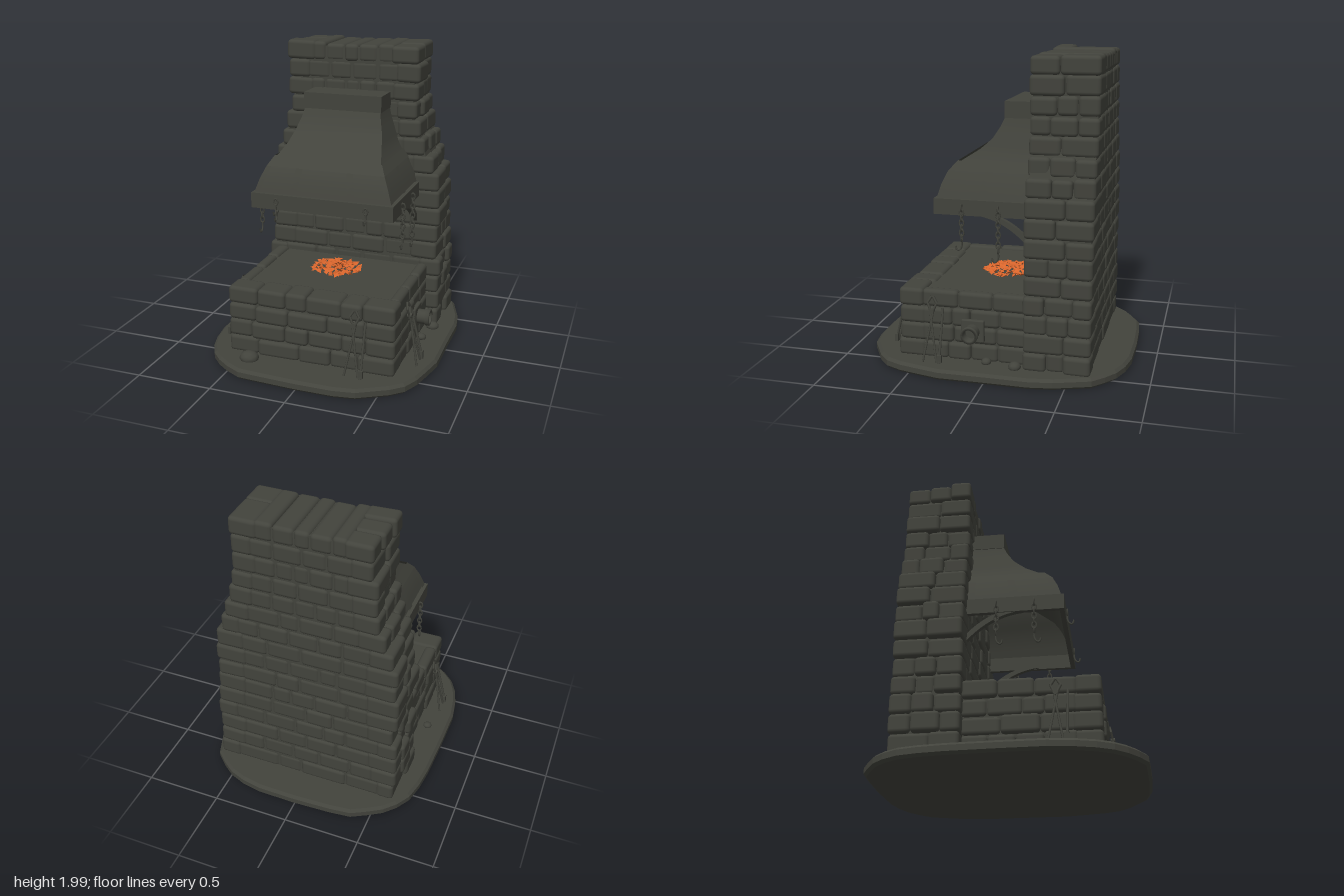
import * as THREE from 'three';
import { RoundedBoxGeometry } from 'three/addons/geometries/RoundedBoxGeometry.js';
import { mergeGeometries } from 'three/addons/utils/BufferGeometryUtils.js';

const stone = new THREE.MeshStandardMaterial({ color: 0x42433c, side: THREE.DoubleSide });
stone.name = 'soot grey';
const ember = new THREE.MeshStandardMaterial({ color: 0xd8652c });
ember.name = 'ember orange';

let seed = 11;
const rnd = () => (seed = (seed * 16807) % 2147483647) / 2147483647;
const jit = (a) => (rnd() * 2 - 1) * a;
const lerp = THREE.MathUtils.lerp;
const V = (x, y, z) => new THREE.Vector3(x, y, z);

// linear lookup in rows [y, value1, value2]
function lookup(rows, y, k) {
  let i = 0;
  while (i < rows.length - 2 && y > rows[i + 1][0]) i++;
  const [a, b] = [rows[i], rows[i + 1]];
  return lerp(a[k], b[k], THREE.MathUtils.clamp((y - a[0]) / (b[0] - a[0]), 0, 1));
}

function add(parent, name, geo, mat = stone, pos = [0, 0, 0]) {
  const m = new THREE.Mesh(geo, mat);
  m.name = name;
  m.position.set(...pos);
  parent.add(m);
  return m;
}

// one worn block between two corners
function block(x0, x1, y0, y1, z0, z1, turn = 0.015) {
  const g = new RoundedBoxGeometry(x1 - x0, y1 - y0, z1 - z0, 2, 0.025);
  g.rotateZ(jit(turn)).rotateY(jit(turn));
  return g.translate((x0 + x1) / 2, (y0 + y1) / 2, (z0 + z1) / 2);
}

// uneven split of a span into n pieces
function split(a, b, n) {
  const c = [a];
  for (let i = 1; i < n; i++) c.push(lerp(a, b, (i + jit(0.2)) / n));
  return [...c, b];
}

const bar = (a, b, r) => new THREE.TubeGeometry(new THREE.LineCurve3(a, b), 1, r, 6);

// chimney outline: height, half width
const WALL = [[0.07, 0.625], [0.45, 0.62], [0.6, 0.6], [0.85, 0.615], [1.1, 0.59], [1.3, 0.53], [1.5, 0.455], [2, 0.45]];

function chimney() {
  const out = [], n = 16;
  for (let i = 0; i < n; i++) {
    const y0 = lerp(0.06, 1.985, i / n), y1 = lerp(0.06, 1.985, (i + 1) / n);
    const w = lookup(WALL, (y0 + y1) / 2, 1), end = w - 0.15 + jit(0.04);
    // middle stones run front to back
    const xs = split(-end, end, 4 + (i % 2));
    for (let k = 0; k < xs.length - 1; k++)
      out.push(block(xs[k], xs[k + 1], y0, y1 + (i === n - 1 ? jit(0.015) : 0), -0.64 + jit(0.004), -0.225 + jit(0.007), 0.006));
    // corner stones, split along the depth
    for (const s of [-1, 1]) {
      const zs = split(-0.645, -0.22, 2 + Math.floor(rnd() * 2));
      for (let k = 0; k < zs.length - 1; k++) {
        const o = w + jit(0.018);
        out.push(block(s < 0 ? -o : end - 0.02, s < 0 ? 0.02 - end : o, y0, y1 + jit(0.008), zs[k], zs[k + 1], 0.025));
      }
    }
  }
  return mergeGeometries(out);
}

function chimneyCore() {
  const s = new THREE.Shape([...WALL.map(([y, w]) => new THREE.Vector2(w - 0.03, Math.min(y, 1.96))),
    ...WALL.slice().reverse().map(([y, w]) => new THREE.Vector2(0.03 - w, Math.min(y, 1.96)))]);
  return new THREE.ExtrudeGeometry(s, { depth: 0.395, bevelEnabled: false }).translate(0, 0, -0.63);
}

function hearth() {
  const out = [], n = 4;
  for (let i = 0; i < n; i++) {
    const y0 = lerp(0.06, 0.512, i / n), y1 = lerp(0.06, 0.512, (i + 1) / n);
    const xs = split(-0.56, 0.56, 5 + (i % 2));
    for (let k = 0; k < xs.length - 1; k++) out.push(block(xs[k], xs[k + 1], y0, y1 + jit(0.005), 0.43 + jit(0.012), 0.6 + jit(0.01)));
    for (const s of [-1, 1]) {
      const zs = split(-0.23, 0.45, 4 - (i % 2));
      for (let k = 0; k < zs.length - 1; k++) {
        const o = 0.555 + jit(0.01);
        out.push(block(s < 0 ? -o : 0.475, s < 0 ? -0.475 : o, y0, y1 + jit(0.005), zs[k], zs[k + 1]));
      }
    }
  }
  return mergeGeometries(out);
}

// worn oval slab
function slab() {
  const pts = [], n = 36, p = 2 / 3.2;
  for (let i = 0; i < n; i++) {
    const a = (i / n) * Math.PI * 2, c = Math.cos(a), s = Math.sin(a), k = 0.985 + jit(0.012);
    pts.push(new THREE.Vector2(Math.sign(c) * Math.abs(c) ** p * 0.755 * k, Math.sign(s) * Math.abs(s) ** p * 0.86 * k));
  }
  return new THREE.ExtrudeGeometry(new THREE.Shape(pts), { depth: 0.035, bevelThickness: 0.017, bevelSize: 0.018, bevelSegments: 1 })
    .rotateX(-Math.PI / 2).translate(0, 0.017, 0);
}

// hood section: height, half width, front depth
const HOOD = [[1.08, 0.45, 0.36], [1.17, 0.42, 0.335], [1.25, 0.385, 0.3], [1.31, 0.35, 0.245], [1.37, 0.32, 0.14], [1.45, 0.295, 0.05], [1.53, 0.27, 0], [1.6, 0.255, -0.03]];

// piece of the hood skin; side 0 is the front, -1 and 1 are the flanks
function skin(side, u0, u1, y0, y1, off = 0, rows = 4) {
  const pos = [], idx = [];
  for (let i = 0; i <= rows; i++) {
    const y = lerp(y0, y1, i / rows), x = lookup(HOOD, y, 1), z = lookup(HOOD, y, 2);
    for (const u of [u0, u1])
      pos.push(...(side ? [side * (x + off), y + off / 2, lerp(-0.23, z + off, u)] : [u * (x + off), y + off / 2, z + off]));
    const a = i * 2;
    if (i < rows) idx.push(...(side > 0 ? [a, a + 3, a + 1, a, a + 2, a + 3] : [a, a + 1, a + 3, a, a + 3, a + 2]));
  }
  const g = new THREE.BufferGeometry();
  g.setAttribute('position', new THREE.Float32BufferAttribute(pos, 3));
  g.setIndex(idx);
  g.computeVertexNormals();
  return g;
}

// hanging chain of links ending in a hook
function chain(parent, name, x, y, z, links, hookScale = 1) {
  const out = [];
  for (let i = 0; i < links; i++)
    out.push(new THREE.TorusGeometry(0.014, 0.005, 5, 10).scale(1, 1.5, 1).rotateY((i % 2) * Math.PI / 2).translate(0, -0.032 * i, 0));
  const h = -0.032 * links + 0.012;
  const curve = new THREE.CatmullRomCurve3([V(0, h, 0), V(0, h - 0.03, 0), V(0, h - 0.055, 0.012), V(0, h - 0.06, 0.03), V(0, h - 0.035, 0.04)]);
  out.push(new THREE.TubeGeometry(curve, 10, 0.006 * hookScale, 6));
  return add(parent, name, mergeGeometries(out), stone, [x, y, z]);
}

export function createModel() {
  const root = new THREE.Group();
  root.name = 'forge';
  add(root, 'groundSlab', slab());
  add(root, 'chimneyCore', chimneyCore());
  add(root, 'chimneyStones', chimney());
  add(root, 'hearthStones', hearth());
  add(root, 'hearthBed', new THREE.BoxGeometry(1.06, 0.44, 0.79), stone, [0, 0.275, 0.175]);

  // loose rocks on the slab
  for (const [x, z, r] of [[-0.38, 0.68, 0.065], [0.61, -0.17, 0.045], [-0.62, 0.1, 0.03], [0.58, 0.02, 0.035]])
    add(root, 'looseRock', new THREE.IcosahedronGeometry(r, 1).scale(1, 0.7, 0.9), stone, [x, 0.08, z]);

  // glowing coals, denser toward the middle
  const coals = [];
  for (let i = 0; i < 110; i++) {
    const a = rnd() * Math.PI * 2, d = Math.sqrt(rnd());
    const g = new THREE.TetrahedronGeometry(0.02 + rnd() * 0.016).scale(1, 0.5, 1);
    coals.push(g.rotateY(rnd() * 6).rotateX(jit(0.4)).translate(-0.02 + Math.cos(a) * d * 0.16, 0.506 + (1 - d) * 0.022, 0.03 + Math.sin(a) * d * 0.16));
  }
  add(root, 'coals', mergeGeometries(coals), ember);

  // hood with rim, ribs and cap
  const hood = new THREE.Group();
  hood.name = 'hood';
  root.add(hood);
  add(hood, 'hoodFront', skin(0, -1, 1, 1.08, 1.6, 0, 14));
  for (const s of [-1, 1]) {
    add(hood, 'hoodFlank', skin(s, 0, 1, 1.08, 1.6, 0, 14));
    add(hood, 'flankBand', skin(s, 0, 1, 1.25, 1.31, 0.01));
    for (const [a, b] of [[0, 0.09], [0.46, 0.55], [0.92, 1]]) add(hood, 'flankRib', skin(s, a, b, 1.09, 1.25, 0.01));
    add(hood, 'rimSide', new THREE.BoxGeometry(0.03, 0.1, 0.61), stone, [s * 0.46, 1.04, 0.08]);
  }
  add(hood, 'frontBand', skin(0, -1, 1, 1.25, 1.31, 0.01));
  for (const [a, b] of [[-1, -0.92], [-0.48, -0.37], [0.37, 0.48], [0.92, 1]]) add(hood, 'frontRib', skin(0, a, b, 1.09, 1.25, 0.01));
  add(hood, 'rimFront', new THREE.BoxGeometry(0.95, 0.1, 0.03), stone, [0, 1.04, 0.37]);
  add(hood, 'cap', new THREE.BoxGeometry(0.53, 0.105, 0.22), stone, [0, 1.63, -0.13]);

  // curved brackets under the rim
  const arc = new THREE.Shape();
  arc.moveTo(0.13, 0.995);
  arc.quadraticCurveTo(-0.08, 0.98, -0.24, 0.79);
  arc.lineTo(-0.24, 0.84);
  arc.quadraticCurveTo(-0.12, 0.97, 0, 0.995);
  for (const s of [-1, 1])
    add(root, 'hoodBracket', new THREE.ExtrudeGeometry(arc, { depth: 0.035, bevelEnabled: false }).rotateY(-Math.PI / 2), stone, [s * 0.45 + 0.0175, 0, 0]);

  // chains and hooks around the rim
  for (const s of [-1, 1]) {
    chain(root, 'frontHook', s * 0.3, 1.045, 0.392, 1);
    chain(root, 'sideChain', s * 0.485, 1.04, 0.2, 7);
    chain(root, 'longSideChain', s * 0.485, 1.04, -0.035, s > 0 ? 9 : 7);
  }

  // air pipe on the left flank
  add(root, 'pipePlate', new RoundedBoxGeometry(0.03, 0.145, 0.15, 1, 0.008), stone, [0.565, 0.272, 0.11]);
  const pipe = [[0.038, 0], [0.038, 0.11], [0.055, 0.11], [0.055, 0.085], [0.048, 0.08], [0.048, 0]].map((p) => new THREE.Vector2(...p));
  add(root, 'airPipe', new THREE.LatheGeometry(pipe, 18).rotateZ(-Math.PI / 2), stone, [0.55, 0.272, 0.11]);
  add(root, 'pipeMouth', new THREE.CircleGeometry(0.04, 18).rotateY(Math.PI / 2), stone, [0.6, 0.272, 0.11]);

  // leaning tools: tongs beside a poker
  for (const [x, z, turn] of [[0.31, 0.6, 0], [0.565, 0.37, Math.PI / 2], [-0.565, 0.33, -Math.PI / 2]]) {
    const set = new THREE.Group();
    set.name = 'tools';
    set.position.set(x, 0, z);
    set.rotation.y = turn;
    root.add(set);
    for (const s of [-1, 1]) {
      add(set, 'tongLeg', bar(V(-s * 0.012, 0.4, 0.025), V(s * 0.045, 0.07, 0.09), 0.007));
      add(set, 'tongJaw', bar(V(-s * 0.012, 0.4, 0.025), V(-s * 0.03, 0.44, 0.018), 0.008));
      add(set, 'tongTip', bar(V(-s * 0.03, 0.44, 0.018), V(-s * 0.006, 0.48, 0.01), 0.008));
    }
    add(set, 'tongPivot', new THREE.CylinderGeometry(0.016, 0.016, 0.03, 10).rotateX(Math.PI / 2), stone, [0, 0.39, 0.027]);
    add(set, 'poker', bar(V(0.07, 0.41, 0.015), V(0.065, 0.07, 0.1), 0.008));
    add(set, 'pokerTip', new THREE.BoxGeometry(0.03, 0.05, 0.02), stone, [0.065, 0.1, 0.093]);
  }
  return root;
}
